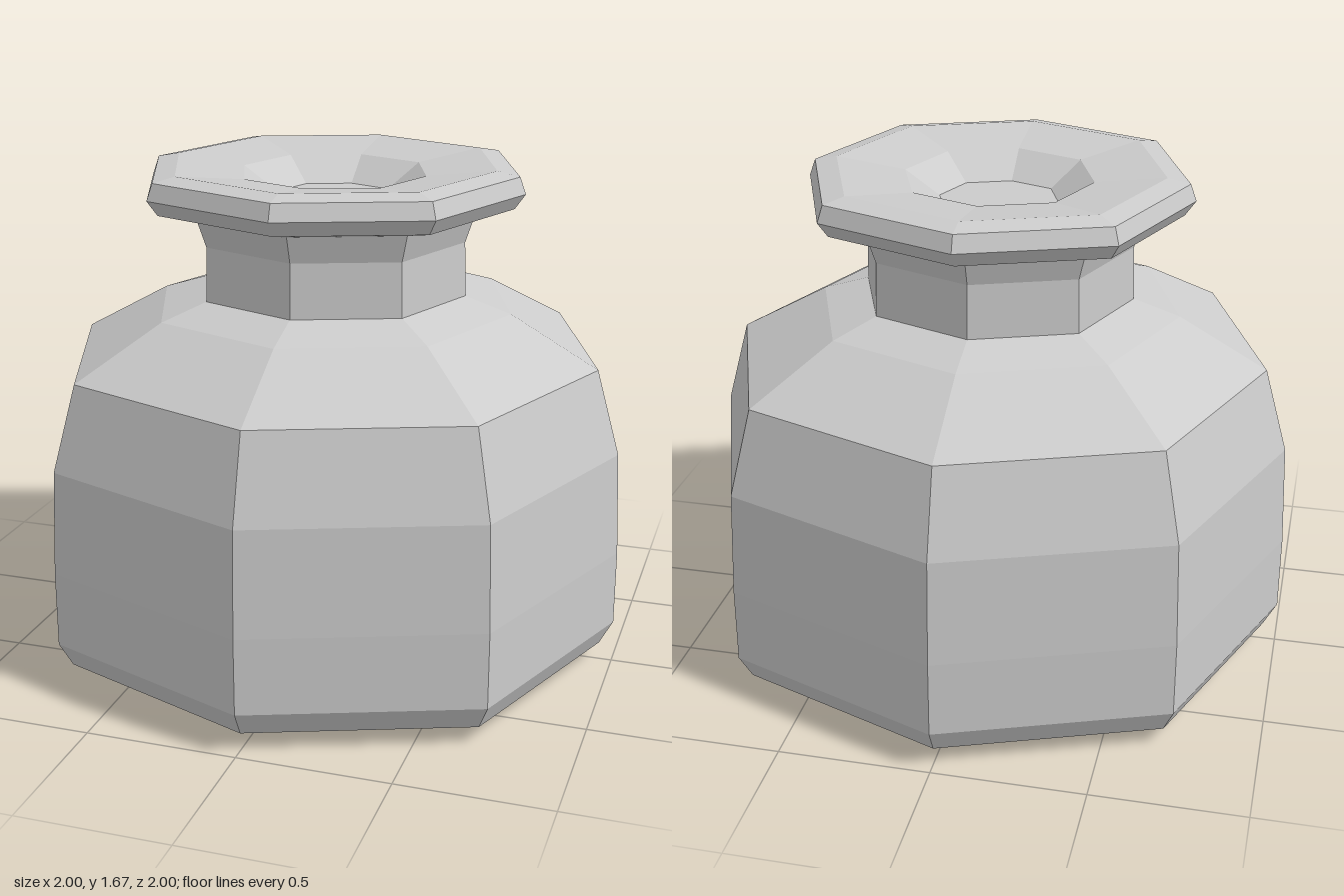
import * as THREE from 'three';

const material = new THREE.MeshStandardMaterial({ color: 0xcccccc, flatShading: true });

// Eight-sided lathe whose diagonal corners are pushed out slightly
function octagonalPart(name, profile) {
  const geometry = new THREE.LatheGeometry(profile.map(([r, y]) => new THREE.Vector2(r, y)), 8);
  const pos = geometry.attributes.position;
  for (let i = 0; i < pos.count; i++) {
    const x = pos.getX(i), z = pos.getZ(i);
    if (Math.min(Math.abs(x), Math.abs(z)) > 0.01) {
      pos.setX(i, x * 1.027);
      pos.setZ(i, z * 1.027);
    }
  }
  geometry.computeVertexNormals();
  const mesh = new THREE.Mesh(geometry, material);
  mesh.name = name;
  return mesh;
}

export function createModel() {
  const group = new THREE.Group();
  group.name = 'jar';
  group.add(
    // Flat base, bevelled foot, gently bulging wall and sloping shoulder
    octagonalPart('body', [
      [0, 0], [0.66, 0], [0.955, 0.06], [1, 0.145], [1, 0.4],
      [0.985, 0.75], [0.905, 1.035], [0.61, 1.2], [0.455, 1.25],
    ]),
    // Short neck flaring towards the lip
    octagonalPart('neck', [[0.455, 1.25], [0.45, 1.43], [0.48, 1.52]]),
    // Overhanging lip with a shallow dished top
    octagonalPart('lip', [
      [0.48, 1.52], [0.61, 1.55], [0.645, 1.6], [0.625, 1.655], [0.55, 1.67], [0.315, 1.64],
    ]),
    // Sunken well in the middle of the top
    octagonalPart('well', [[0.315, 1.64], [0.2, 1.56], [0, 1.56]]),
  );
  return group;
}
